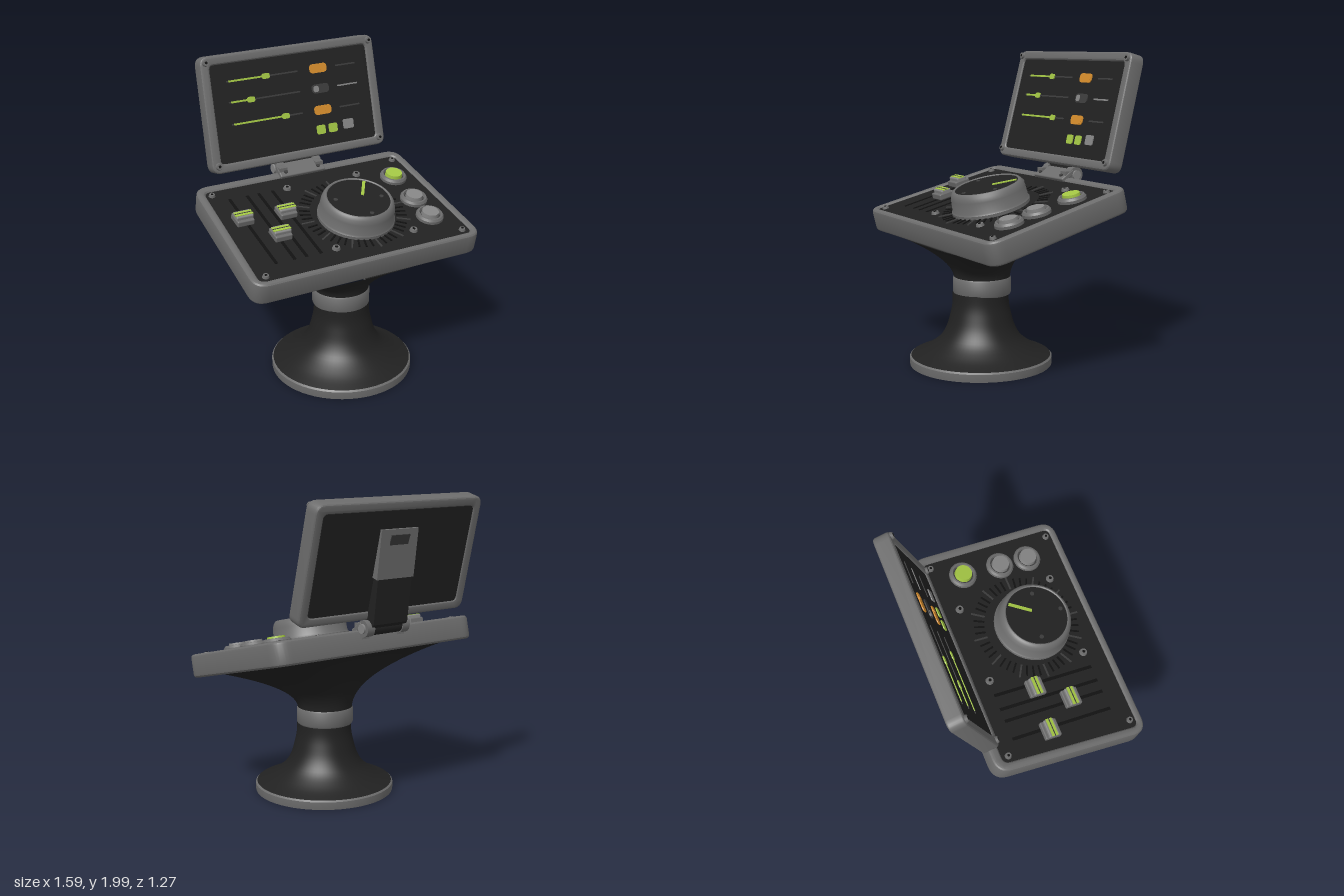
import * as THREE from 'three';
import { toCreasedNormals } from 'three/addons/utils/BufferGeometryUtils.js';
import { RoundedBoxGeometry } from 'three/addons/geometries/RoundedBoxGeometry.js';

const mat = (name, color, side = THREE.FrontSide) => {
  const m = new THREE.MeshStandardMaterial({ color, side });
  m.name = name;
  return m;
};

export function createModel() {
  const gray = mat('gray metal', 0x6c6c6c);
  const light = mat('light gray', 0x858585);
  const dark = mat('charcoal', 0x212121, THREE.DoubleSide);
  const black = mat('black', 0x111111);
  const slate = mat('slate', 0x3c3c3c);
  const green = mat('lime', 0xa3c644);
  const orange = mat('orange', 0xd48c2c);

  const model = new THREE.Group();
  model.name = 'controlConsole';

  const add = (parent, name, geo, material, x = 0, y = 0, z = 0) => {
    const mesh = new THREE.Mesh(geo, material);
    mesh.name = name;
    mesh.position.set(x, y, z);
    parent.add(mesh);
    return mesh;
  };
  const box = (w, h, d) => new THREE.BoxGeometry(w, h, d);
  const rbox = (w, h, d, r) => new RoundedBoxGeometry(w, h, d, 2, r);
  // Cylinder whose axis points out of a panel (+z), standing on z = 0
  const stud = (rTop, rBase, h, n = 32) =>
    new THREE.CylinderGeometry(rTop, rBase, h, n).translate(0, h / 2, 0).rotateX(Math.PI / 2);
  const lathe = (pts, n = 64) => toCreasedNormals(
    new THREE.LatheGeometry(pts.map(p => new THREE.Vector2(...p)), n), 0.6);

  // Rounded trapezoid: half widths at the bottom and top edge
  const trapezoid = (wb, wt, y0, y1, r, P = THREE.Shape) => {
    const s = new P();
    const c = [[-wb, y0], [wb, y0], [wt, y1], [-wt, y1]].map(p => new THREE.Vector2(...p));
    c.forEach((p, i) => {
      const a = p.clone().add(c[(i + 3) % 4].clone().sub(p).setLength(r));
      const b = p.clone().add(c[(i + 1) % 4].clone().sub(p).setLength(r));
      if (i) s.lineTo(a.x, a.y); else s.moveTo(a.x, a.y);
      s.quadraticCurveTo(p.x, p.y, b.x, b.y);
    });
    s.closePath();
    return s;
  };

  // Panel lying in x/y with its face at z = 0: bevelled frame and dark filling
  const panel = (name, outer, inner, t, bevel) => {
    const g = new THREE.Group();
    g.name = name;
    const shape = trapezoid(...outer);
    shape.holes.push(trapezoid(...inner, THREE.Path));
    const frame = new THREE.ExtrudeGeometry(shape, {
      depth: t - 2 * bevel, bevelThickness: bevel, bevelSize: bevel,
      bevelOffset: -bevel, bevelSegments: 3, curveSegments: 8
    }).translate(0, 0, bevel - t);
    add(g, name + 'Frame', toCreasedNormals(frame, 0.5), gray);
    const fill = new THREE.ExtrudeGeometry(trapezoid(...inner), { depth: t - 0.018, bevelEnabled: false });
    add(g, name + 'Face', fill, dark, 0, 0, 0.006 - t);
    model.add(g);
    return g;
  };
  const screw = (g, x, y, z, r) => {
    add(g, 'screw', stud(r * 0.8, r, 0.016, 16), gray, x, y, z);
    add(g, 'screwSocket', stud(r * 0.4, r * 0.4, 0.003, 6), black, x, y, z + 0.015);
  };

  // Pedestal
  const stand = new THREE.Group();
  stand.name = 'pedestal';
  stand.position.z = 0.18;
  model.add(stand);
  add(stand, 'basePlate', lathe([[0, 0], [0.458, 0], [0.46, 0.01], [0.46, 0.05], [0.45, 0.06], [0, 0.06]]), gray);
  const flare = new THREE.SplineCurve([[0.45, 0.06], [0.36, 0.1], [0.27, 0.165], [0.222, 0.24], [0.195, 0.33],
    [0.182, 0.4], [0.18, 0.47]].map(p => new THREE.Vector2(...p)));
  add(stand, 'lowerFlare', new THREE.LatheGeometry(flare.getPoints(24), 64), dark);
  add(stand, 'collar', lathe([[0.17, 0.458], [0.18, 0.458], [0.186, 0.468], [0.186, 0.56], [0.18, 0.572], [0.17, 0.572]]), gray, 0, 0, -0.01);

  // Upper flare: lofted from the round neck to the sloping underside
  const TILT = 0.245, rows = 16, cols = 64, pos = [], idx = [];
  for (let i = 0; i <= rows; i++) {
    const t = i / rows, h = t * t;
    for (let j = 0; j <= cols; j++) {
      const a = j / cols * Math.PI * 2, c = Math.cos(a), s = Math.sin(a);
      const ex = 0.7 * Math.sign(c) * Math.abs(c) ** 0.55;
      const ez = 0.07 + 0.485 * Math.sign(s) * Math.abs(s) ** 0.55;
      const ey = 0.917 - (ez - 0.055) * Math.tan(TILT);
      pos.push(THREE.MathUtils.lerp(0.18 * c, ex, h), THREE.MathUtils.lerp(0.56, ey, t),
        THREE.MathUtils.lerp(0.17 + 0.18 * s, ez, h));
      if (i < rows && j < cols) {
        const k = i * (cols + 1) + j, n = k + cols + 1;
        idx.push(k, n, k + 1, k + 1, n, n + 1);
      }
    }
  }
  const bell = new THREE.BufferGeometry();
  bell.setAttribute('position', new THREE.Float32BufferAttribute(pos, 3));
  bell.setIndex(idx);
  bell.computeVertexNormals();
  add(model, 'upperFlare', bell, dark);

  // Sloping control desk
  const desk = panel('desk', [0.8, 0.762, -0.52, 0.52, 0.1], [0.745, 0.707, -0.472, 0.455, 0.04], 0.152, 0.022);
  desk.position.set(0, 1.063, 0.091);
  desk.rotation.x = TILT - Math.PI / 2;
  const F = -0.012;
  [[0.672, 0.413], [0.695, -0.435]].forEach(([x, y]) => [-x, x].forEach(sx => screw(desk, sx, y, F, 0.022)));
  [[-0.175, 0.335], [0.345, 0.335], [-0.17, -0.335], [0.39, -0.335]].forEach(([x, y]) => screw(desk, x, y, F, 0.027));

  // Fader slots and caps
  [-0.58, -0.457, -0.376, -0.278].forEach(x => add(desk, 'faderSlot', box(0.02, 0.69, 0.006), black, x, 0, F));
  [[-0.6, 0.1], [-0.444, -0.115], [-0.312, 0.08]].forEach(([x, y]) => {
    const f = new THREE.Group();
    f.name = 'fader';
    f.position.set(x, y, F);
    desk.add(f);
    add(f, 'faderBody', rbox(0.115, 0.11, 0.04, 0.008), gray, 0, 0, 0.025);
    add(f, 'faderGrip', rbox(0.115, 0.07, 0.034, 0.008), light, 0, 0, 0.05);
    add(f, 'faderStripe', box(0.117, 0.042, 0.006), green, 0, 0, 0.067);
    add(f, 'faderGroove', box(0.117, 0.006, 0.007), slate, 0, 0, 0.068);
  });

  // Large dial with graduation marks
  const dial = new THREE.Group();
  dial.name = 'dial';
  dial.position.set(0.11, -0.08, F);
  desk.add(dial);
  for (let i = 0; i < 48; i++) {
    const a = i / 48 * Math.PI * 2, r = i % 4 ? 0.315 : 0.325;
    const tick = add(dial, 'tick', box(i % 4 ? 0.07 : 0.09, 0.011, 0.006), i % 4 ? black : slate,
      r * Math.cos(a), 0.035 + r * Math.sin(a), 0.002);
    tick.rotation.z = a;
  }
  add(dial, 'dialBody', lathe([[0.25, 0], [0.25, 0.02], [0.243, 0.03], [0.238, 0.1], [0.23, 0.128], [0.217, 0.146],
    [0.208, 0.15], [0.202, 0.146], [0.2, 0.135]]).rotateX(Math.PI / 2), gray);
  add(dial, 'dialTop', stud(0.204, 0.204, 0.143, 64), dark);
  const pointer = add(dial, 'pointer', box(0.02, 0.155, 0.008), green, 0.08, 0.085, 0.145);
  pointer.rotation.z = -0.57;
  [[-0.15, 0.03], [0, -0.17], [0.15, -0.03]].forEach(([x, y]) => add(dial, 'dialPin', stud(0.014, 0.014, 0.005, 12), slate, x, y, 0.142));

  // Push buttons
  [[0.225, green], [-0.04, light], [-0.24, light]].forEach(([y, m]) => {
    add(desk, 'buttonRing', lathe([[0.09, 0], [0.09, 0.018], [0.08, 0.032], [0.07, 0.034], [0.064, 0.02]], 40).rotateX(Math.PI / 2), gray, 0.57, y, F);
    add(desk, 'buttonWell', stud(0.07, 0.07, 0.02), slate, 0.57, y, F);
    add(desk, 'buttonCap', stud(0.054, 0.06, 0.046), m, 0.57, y, F);
  });

  // Display
  const screen = panel('display', [0.638, 0.625, -0.375, 0.372, 0.06], [0.572, 0.565, -0.318, 0.312, 0.03], 0.108, 0.016);
  screen.position.set(0, 1.638, -0.439);
  screen.rotation.x = -0.253;
  [[0.59, 0.335], [0.595, -0.325]].forEach(([x, y]) => [-x, x].forEach(sx => screw(screen, sx, y, -0.002, 0.025)));

  // Display graphics: sliders, toggles and small tiles
  const plate = (name, w, h, r, m, x, y, z = F) => add(screen, name,
    new THREE.ExtrudeGeometry(trapezoid(w / 2, w / 2, -h / 2, h / 2, r), { depth: 0.007, bevelEnabled: false }), m, x, y, z);
  [[0.198, -0.187, orange], [0.064, -0.31, slate], [-0.078, -0.08, orange]].forEach(([y, mx, m], i) => {
    plate('sliderTrack', 0.51, 0.01, 0.004, slate, -0.21, y, F - 0.003);
    plate('sliderFill', mx + 0.45, 0.012, 0.004, green, (mx - 0.45) / 2, y, F - 0.002);
    plate('sliderMarker', 0.055, 0.036, 0.016, green, mx, y);
    plate('toggle', 0.126, 0.06, 0.026, m, 0.195, y);
    plate('toggleKnob', 0.04, 0.042, 0.018, i === 1 ? light : orange, i === 1 ? 0.162 : 0.228, y, F + 0.002);
    plate('dash', 0.15, 0.01, 0.004, i === 1 ? light : slate, 0.4, y, F - 0.003);
  });
  plate('tile', 0.064, 0.06, 0.015, green, 0.165, -0.207);
  plate('tile', 0.064, 0.06, 0.015, green, 0.255, -0.207);
  plate('tile', 0.078, 0.064, 0.012, light, 0.373, -0.198);

  // Wedge-shaped support arm behind the display, given as [y, z] corners
  const wedge = (name, pts, w, m) => {
    const s = new THREE.Shape(pts.map(([y, z]) => new THREE.Vector2(-z, y)));
    const g = new THREE.ExtrudeGeometry(s, { depth: w, bevelEnabled: false });
    add(screen, name, g.translate(0, 0, -w / 2).rotateY(Math.PI / 2), m);
  };
  wedge('armPlate', [[0.2, -0.095], [0.2, -0.114], [-0.1, -0.147], [-0.1, -0.095]], 0.28, gray);
  wedge('armLower', [[-0.1, -0.095], [-0.1, -0.143], [-0.38, -0.176], [-0.41, -0.16], [-0.41, -0.09]], 0.26, dark);
  const inset = add(screen, 'armInset', box(0.14, 0.1, 0.006), slate, 0, 0.12, -0.123);
  inset.rotation.x = -0.11;

  // Hinge between desk and display
  const hinge = new THREE.Group();
  hinge.name = 'hinge';
  hinge.position.set(0, 1.2, -0.45);
  model.add(hinge);
  const axle = (name, r, w, m, x) => add(hinge, name, new THREE.CylinderGeometry(r, r, w, 24).rotateZ(Math.PI / 2), m, x);
  axle('hingeBarrel', 0.046, 0.22, dark, 0);
  [-1, 1].forEach(s => {
    axle('hingeKnuckle', 0.052, 0.055, gray, s * 0.135);
    axle('hingeCap', 0.03, 0.02, light, s * 0.165);
    add(hinge, 'hingeLug', box(0.055, 0.09, 0.08), gray, s * 0.135, -0.02, 0.045);
  });
  const bracket = add(hinge, 'hingeBracket', rbox(0.33, 0.035, 0.11, 0.008), gray, 0, -0.005, 0.06);
  bracket.rotation.x = 0.6;
  [-0.12, 0.12].forEach(x => add(bracket, 'hingeBolt', new THREE.CylinderGeometry(0.014, 0.014, 0.01, 12), slate, x, 0.02, 0.02));

  return model;
}
